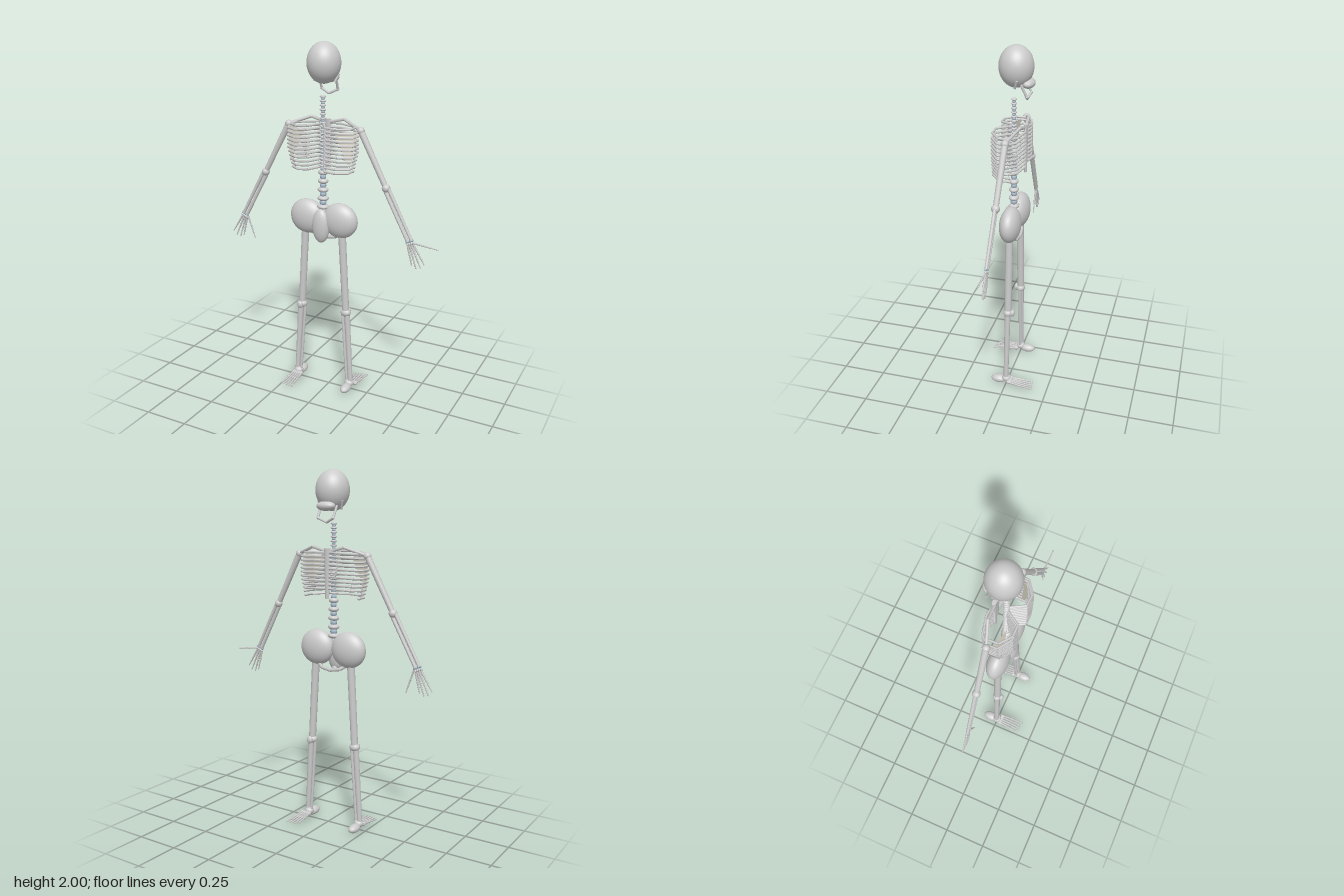
import * as THREE from 'three';

const CX = -0.036; // body axis
const V = (x, y, z) => new THREE.Vector3(x, y, z);
const bone = new THREE.MeshStandardMaterial({ color: 0xcccccc });
const disc = new THREE.MeshStandardMaterial({ color: 0xa9bccd });
const blade = new THREE.MeshStandardMaterial({ color: 0xdad6c6, side: THREE.DoubleSide });

function group(name, parent) {
  const g = new THREE.Group();
  g.name = name;
  parent.add(g);
  return g;
}

function ball(parent, name, p, rx, ry = rx, rz = rx, mat = bone, seg = 14) {
  const m = new THREE.Mesh(new THREE.SphereGeometry(1, seg, Math.ceil(seg * 0.7)), mat);
  m.name = name;
  m.position.copy(p);
  m.scale.set(rx, ry, rz);
  parent.add(m);
  return m;
}

// Tapered straight rod from a to b
function rod(parent, name, a, b, r0, r1 = r0, seg = 8) {
  const d = b.clone().sub(a);
  const m = new THREE.Mesh(new THREE.CylinderGeometry(r1, r0, d.length(), seg), bone);
  m.name = name;
  m.position.copy(a).addScaledVector(d, 0.5);
  m.quaternion.setFromUnitVectors(V(0, 1, 0), d.normalize());
  parent.add(m);
  return m;
}

function chain(parent, name, pts, r) {
  for (let i = 1; i < pts.length; i++) rod(parent, name, pts[i - 1], pts[i], r, r, 6);
}

// Finger or toe: long first bone, then three short ones with small joints
function digit(parent, name, a, b, r) {
  const stops = [0, 0.45, 0.68, 0.86, 1];
  for (let i = 1; i < stops.length; i++) {
    const p = a.clone().lerp(b, stops[i - 1]);
    const q = a.clone().lerp(b, stops[i]);
    const w = r * (1 - 0.12 * i);
    rod(parent, name, p, q, w, w * 0.85, 6);
    if (i > 1) ball(parent, name + 'Joint', p, w * 1.3, w * 1.3, w * 1.3, bone, 6);
  }
}

function buildHead(root) {
  const head = group('head', root);
  ball(head, 'skull', V(CX, 1.89, -0.012), 0.092, 0.11, 0.092, bone, 32);
  ball(head, 'upperJaw', V(CX, 1.807, -0.078), 0.056, 0.026, 0.034, bone, 18);
  for (const s of [-1, 1]) {
    const at = (x, y, z) => V(CX + s * x, y, z);
    rod(head, 'cheekbone', at(0.077, 1.835, -0.035), at(0.06, 1.79, -0.02), 0.006);
    chain(head, 'lowerJaw', [at(0.052, 1.81, -0.05), at(0.048, 1.745, -0.08), at(0, 1.722, -0.07)], 0.007);
    ball(head, 'jawCorner', at(0.048, 1.745, -0.08), 0.008);
  }
}

function buildSpine(root) {
  const spine = group('spine', root);
  const levels = [];
  for (let i = 0; i < 7; i++) levels.push([1.715 - i * 0.0235, 0.018]);
  for (let i = 0; i < 12; i++) levels.push([1.555 - i * 0.0195, 0.019 + i * 0.0007]);
  for (let i = 0; i < 5; i++) levels.push([1.3 - i * 0.049, 0.029 + i * 0.0016]);
  levels.forEach(([y, r], i) => {
    const h = i < 19 ? 0.0075 : 0.016;
    ball(spine, 'vertebra', V(CX, y, 0), r, h, r * 0.85, bone, 12);
    if (i + 1 < levels.length) {
      const next = levels[i + 1][0];
      ball(spine, 'spinalDisc', V(CX, (y + next) / 2, 0), r * 0.6, (y - next) * 0.4, r * 0.55, disc, 10);
    }
  });
}

function buildChest(root) {
  const chest = group('ribCage', root);
  // Half outline of a rib, from spine round to breastbone: x, z
  const outline = [[0.012, 0.01], [0.06, 0.083], [0.13, 0.085], [0.198, 0.036],
    [0.2, -0.02], [0.16, -0.058], [0.07, -0.078], [0.015, -0.065]];
  for (const s of [-1, 1]) {
    for (let i = 0; i < 12; i++) {
      const k = i === 0 ? 0.9 : i < 7 ? 1 : 1 - (i - 6) * 0.028;
      const y = 1.57 - i * 0.0215;
      const count = i > 9 ? 5 : 8;
      const pts = outline.slice(0, count).map(([x, z], j) =>
        V(CX + s * x * k, y - 0.004 * Math.min(j, 3) + (j > 5 ? 0.005 : 0), z));
      chain(chest, 'rib', pts, 0.0065);
      ball(chest, 'ribEnd', pts[count - 1], 0.008, 0.008, 0.008, bone, 8);
    }
    const at = (x, y, z) => V(CX + s * x, y, z);
    chain(chest, 'collarbone', [at(0.218, 1.55, -0.012), at(0.1, 1.592, -0.055), at(0.015, 1.57, -0.06)], 0.009);
    ball(chest, 'collarboneBend', at(0.1, 1.592, -0.055), 0.009);
    // Flat triangular shoulder blade
    const geo = new THREE.BufferGeometry().setFromPoints(
      [at(0.212, 1.545, 0.01), at(0.09, 1.535, 0.042), at(0.178, 1.35, 0.045)]);
    geo.computeVertexNormals();
    const m = new THREE.Mesh(geo, blade);
    m.name = 'shoulderBlade';
    chest.add(m);
  }
  const sternum = rod(chest, 'breastbone', V(CX, 1.315, -0.065), V(CX, 1.585, -0.065), 0.012, 0.019, 12);
  sternum.scale.z = 0.6;
}

function buildPelvis(root) {
  const pelvis = group('pelvis', root);
  ball(pelvis, 'sacrum', V(CX, 0.998, 0.028), 0.052, 0.098, 0.035, bone, 24);
  ball(pelvis, 'tailbone', V(CX, 0.92, 0.015), 0.018, 0.018, 0.018);
  for (const s of [-1, 1]) {
    ball(pelvis, 'hipBone', V(CX + s * 0.102, 1.034, -0.007), 0.105, 0.1, 0.058, bone, 28);
    chain(pelvis, 'pubicArch', [V(CX + s * 0.095, 0.95, -0.01), V(CX + s * 0.06, 0.925, -0.03),
      V(CX, 0.915, -0.035)], 0.01);
  }
}

function buildArm(root, s) {
  const arm = group(s > 0 ? 'leftArm' : 'rightArm', root);
  const shoulder = V(CX + s * 0.219, 1.548, -0.012);
  const elbow = V(CX + s * 0.373, 1.257, -0.006);
  const wrist = V(CX + s * 0.518, 0.985, 0);
  ball(arm, 'shoulderJoint', shoulder, 0.021);
  rod(arm, 'upperArm', shoulder, elbow, 0.018, 0.015, 12);
  ball(arm, 'elbowJoint', elbow, 0.023);
  for (const k of [-1, 1]) {
    const off = V(k * 0.0105, k * s * 0.0055, 0);
    rod(arm, 'forearmBone', elbow.clone().add(off), wrist.clone().add(off), 0.0105, 0.009, 10);
  }
  // Two rows of wrist bones
  for (let r = 0; r < 2; r++) for (let i = -1.5; i < 2; i++) {
    const p = wrist.clone().add(V(i * 0.011 + s * r * 0.006, i * s * 0.005 - r * 0.014, 0));
    ball(arm, 'wristBone', p, 0.0075, 0.0075, 0.0075, r ? bone : disc, 8);
  }
  const tips = [[0.607, 0.865], [0.586, 0.842], [0.56, 0.835], [0.535, 0.848]];
  tips.forEach(([x, y], i) => digit(arm, 'finger',
    wrist.clone().add(V(s * (0.021 - i * 0.01), -0.013 - i * 0.005, 0)), V(CX + s * x, y, 0), 0.0065));
  const thumb = s > 0 ? V(0.644, 0.963, 0) : V(-0.49, 0.842, 0);
  digit(arm, 'thumb', wrist.clone().add(V(0.016, -0.006, 0)), thumb, 0.006);
}

function buildLeg(root, s) {
  const leg = group(s > 0 ? 'leftLeg' : 'rightLeg', root);
  const f = -s; // way the toes and kneecap point
  const hip = V(CX + s * 0.112, 1.02, -0.005);
  const knee = V(CX + s * 0.143, 0.487, -0.004);
  const ankle = V(CX + s * 0.17, 0.04, 0);
  rod(leg, 'thighBone', hip, knee, 0.022, 0.02, 14);
  ball(leg, 'kneeJoint', knee, 0.031, 0.024, 0.026);
  ball(leg, 'kneecap', knee.clone().add(V(0, 0, f * 0.027)), 0.018, 0.022, 0.013);
  const shift = (p, d) => p.clone().add(V(s * d, 0, 0));
  rod(leg, 'shinBone', shift(knee, 0.008), shift(ankle, 0.008), 0.017, 0.014, 12);
  rod(leg, 'calfBone', shift(knee, -0.021), shift(ankle, -0.015), 0.009, 0.008, 10);
  ball(leg, 'ankleJoint', ankle, 0.028, 0.022, 0.026);
  ball(leg, 'heel', V(ankle.x, 0.026, -f * 0.045), 0.028, 0.024, 0.047, bone, 18);
  const mid = s > 0 ? 0.142 : -0.201;
  for (let i = -2; i <= 2; i++) {
    const x = mid + i * 0.0175;
    ball(leg, 'footBone', V(mid + i * 0.012, 0.032, f * 0.025), 0.011, 0.011, 0.018, bone, 8);
    digit(leg, 'toe', V(mid + i * 0.013, 0.032, f * 0.02), V(x, 0.017, f * (0.162 + i * 0.004)), 0.0075);
  }
}

export function createModel() {
  const root = new THREE.Group();
  root.name = 'skeleton';
  buildHead(root);
  buildSpine(root);
  buildChest(root);
  buildPelvis(root);
  for (const s of [-1, 1]) {
    buildArm(root, s);
    buildLeg(root, s);
  }
  return root;
}
